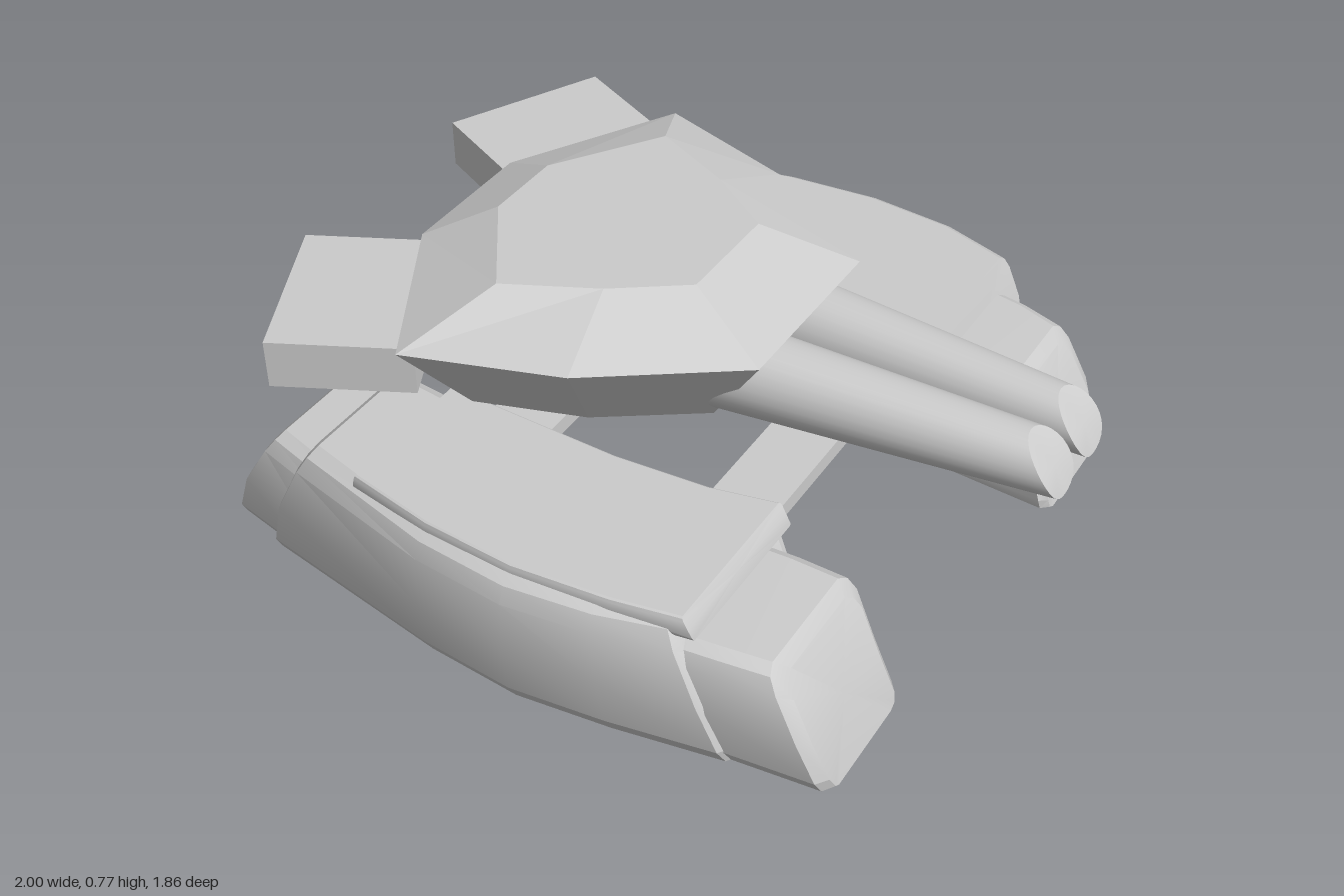
import * as THREE from 'three';
import { toCreasedNormals } from 'three/addons/utils/BufferGeometryUtils.js';

const smooth = new THREE.MeshStandardMaterial({ color: 0xcccccc });
const faceted = new THREE.MeshStandardMaterial({ color: 0xcccccc, flatShading: true });

// Skin a stack of point rings and close both ends; flip reverses the winding
function loft(rings, flip = false) {
  const n = rings[0].length, last = rings.length - 1;
  const pos = rings.flat(2), idx = [];
  const tri = (a, b, c) => (flip ? idx.push(a, c, b) : idx.push(a, b, c));
  const mean = (ring) => [0, 1, 2].map((k) => ring.reduce((s, p) => s + p[k], 0) / n);
  pos.push(...mean(rings[0]), ...mean(rings[last]));
  const c0 = rings.length * n, c1 = c0 + 1;
  for (let j = 0; j < n; j++) {
    const k = (j + 1) % n;
    for (let i = 0; i < last; i++) {
      const a = i * n + j, b = i * n + k;
      tri(a, b, b + n);
      tri(a, b + n, a + n);
    }
    tri(c0, k, j);
    tri(c1, last * n + j, last * n + k);
  }
  const g = new THREE.BufferGeometry();
  g.setAttribute('position', new THREE.Float32BufferAttribute(pos, 3));
  g.setIndex(idx);
  g.computeVertexNormals();
  return g;
}

// Pod cross-section: [inner 0 / outer 1, inset, height fraction]
const SECTION = [
  [0, 0.5, 0], [0, 0.1, 0.04], [0, 0, 0.12], [0, 0.25, 0.5], [0, 0, 0.85], [0, 0.2, 0.95], [0, 0.7, 1],
  [1, 0.9, 1], [1, 0.4, 0.95], [1, 0.15, 0.84], [1, 0, 0.5], [1, 0.3, 0.15], [1, 0.7, 0.03], [1, 1, 0],
];

// Stations: [x at bottom, x at top, inner z, outer z, top]; side is the sign of z
function podPart(name, side, stations, y0 = 0) {
  const rings = stations.map(([xb, xt, zin, zout, top]) => {
    const bevel = (top - y0) * 0.17;
    return SECTION.map(([outer, inset, f]) => [
      xb + (xt - xb) * Math.pow(f, 1.5),
      y0 + (top - y0) * f,
      side * (outer ? zout - inset * bevel : zin + inset * bevel),
    ]);
  });
  const mesh = new THREE.Mesh(toCreasedNormals(loft(rings, side < 0), 0.35), smooth);
  mesh.name = name;
  return mesh;
}

function leftPod() {
  const g = new THREE.Group();
  g.name = 'podFrontSide';
  g.add(
    podPart('podRearBlock', 1, [
      [-1.0, -0.84, 0.39, 0.68, 0.31], [-0.98, -0.81, 0.355, 0.725, 0.34], [-0.7, -0.6, 0.37, 0.79, 0.345],
    ]),
    podPart('podBody', 1, [
      [-0.825, -0.67, 0.39, 0.765, 0.385], [-0.81, -0.65, 0.37, 0.795, 0.4], [-0.26, -0.25, 0.42, 0.9, 0.4],
      [0, 0, 0.43, 0.925, 0.4], [0.25, 0.22, 0.42, 0.9, 0.4],
      [0.53, 0.38, 0.365, 0.855, 0.4], [0.545, 0.395, 0.39, 0.83, 0.385],
    ]),
    podPart('podTopPlate', 1, [
      [-0.5, -0.49, 0.4, 0.8, 0.42], [-0.25, -0.25, 0.41, 0.85, 0.42], [0, 0, 0.42, 0.87, 0.42],
      [0.25, 0.25, 0.405, 0.85, 0.42], [0.45, 0.42, 0.37, 0.82, 0.42],
    ], 0.36),
    podPart('podFrontBlock', 1, [
      [0.4, 0.36, 0.42, 0.85, 0.345], [0.55, 0.5, 0.415, 0.835, 0.345],
      [0.76, 0.62, 0.415, 0.815, 0.34], [0.78, 0.65, 0.44, 0.78, 0.31],
    ]),
  );
  return g;
}

function rightPod() {
  const g = new THREE.Group();
  g.name = 'podBackSide';
  g.add(
    podPart('podRearBlock', -1, [
      [-0.95, -0.81, 0.41, 0.73, 0.31], [-0.93, -0.77, 0.38, 0.77, 0.34], [-0.62, -0.55, 0.39, 0.82, 0.345],
    ]),
    podPart('podBody', -1, [
      [-0.775, -0.62, 0.41, 0.79, 0.385], [-0.76, -0.6, 0.39, 0.82, 0.4], [-0.25, -0.23, 0.43, 0.885, 0.4],
      [0.02, 0.02, 0.44, 0.905, 0.4], [0.27, 0.25, 0.42, 0.88, 0.4],
      [0.57, 0.44, 0.38, 0.81, 0.4], [0.585, 0.455, 0.4, 0.785, 0.385],
    ]),
    podPart('podSidePlate', -1, [
      [-0.48, -0.44, 0.41, 0.865, 0.42], [-0.24, -0.23, 0.43, 0.91, 0.42], [0.02, 0.02, 0.44, 0.93, 0.42],
      [0.27, 0.26, 0.42, 0.905, 0.42], [0.53, 0.45, 0.385, 0.84, 0.42],
    ], 0.16),
    podPart('podFrontBlock', -1, [
      [0.47, 0.42, 0.38, 0.805, 0.345], [0.6, 0.55, 0.37, 0.78, 0.345],
      [0.8, 0.66, 0.355, 0.745, 0.34], [0.82, 0.69, 0.375, 0.71, 0.31],
    ]),
  );
  return g;
}

// Turret ring: front-to-back half outline, mirrored in z
const turretRing = (y, half) => [
  ...half.map(([x, z]) => [x, y, -z]),
  ...half.slice().reverse().map(([x, z]) => [x, y, z]),
];

// Tapered barrel along x with a raked muzzle
function barrel(zBase, zTip) {
  const x0 = 0.08, x1 = 1, r0 = 0.114, r1 = 0.075, y = 0.548;
  const g = new THREE.CylinderGeometry(r1, r0, x1 - x0, 28);
  g.rotateZ(-Math.PI / 2);
  const p = g.attributes.position;
  for (let i = 0; i < p.count; i++) {
    const tip = p.getX(i) > 0;
    const t = (p.getY(i) + r1) / (2 * r1);
    p.setXYZ(i, tip ? x1 - 0.1 * Math.pow(Math.max(t, 0), 1.6) : x0, y + p.getY(i), p.getZ(i) + (tip ? zTip : zBase));
  }
  const mesh = new THREE.Mesh(toCreasedNormals(g, 0.6), smooth);
  mesh.name = 'barrel';
  return mesh;
}

function box(name, size, at, turn = 0) {
  const mesh = new THREE.Mesh(new THREE.BoxGeometry(...size), faceted);
  mesh.name = name;
  mesh.position.set(...at);
  mesh.rotation.y = turn;
  return mesh;
}

export function createModel() {
  const model = new THREE.Group();
  model.name = 'hoverTank';
  model.add(leftPod(), rightPod());

  // Cross struts joining the pods
  for (const x of [0.25, -0.4]) model.add(box('strut', [0.18, 0.045, 1.0], [x, 0.222, 0]));

  // Faceted turret
  const turret = new THREE.Mesh(loft([
    turretRing(0.425, [[0.125, 0.17], [-0.13, 0.34], [-0.41, 0.43], [-0.575, 0.14]]),
    turretRing(0.68, [[0.295, 0.255], [-0.07, 0.505], [-0.465, 0.633], [-0.71, 0.195]]),
    turretRing(0.775, [[0.065, 0.15], [-0.115, 0.275], [-0.345, 0.385], [-0.53, 0.11]]),
  ]), faceted);
  turret.name = 'turret';
  model.add(turret);

  // Twin barrels
  model.add(barrel(-0.14, -0.105), barrel(0.122, 0.068));

  // Angled boxes on the turret's rear corners
  for (const s of [-1, 1]) {
    model.add(box('rearBox', [0.36, 0.13, 0.456], [-0.72, 0.595, s < 0 ? -0.435 : 0.45], s * 0.455));
  }
  return model;
}
